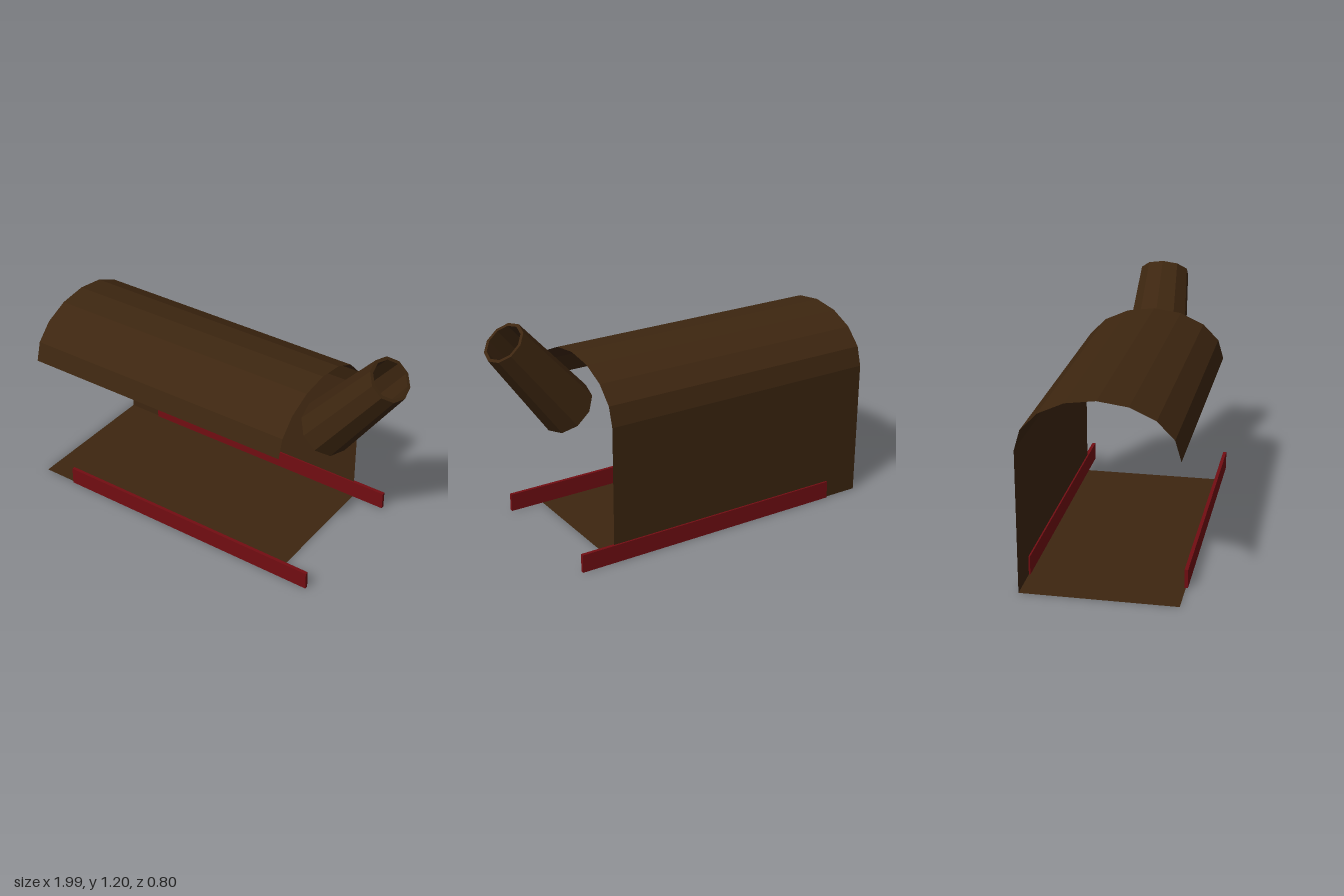
import * as THREE from 'three';

export function createModel() {
  const group = new THREE.Group();
  const brown = new THREE.MeshStandardMaterial({ color: 0x3d2610, flatShading: true, side: THREE.DoubleSide });
  brown.name = 'dark brown';
  const red = new THREE.MeshStandardMaterial({ color: 0x720d12, flatShading: true });
  red.name = 'dark red';

  const add = (name, geometry, material, x, y, z) => {
    const mesh = new THREE.Mesh(geometry, material);
    mesh.name = name;
    mesh.position.set(x, y, z);
    group.add(mesh);
    return mesh;
  };

  const length = 1.54, midX = -0.23, halfDepth = 0.39, wallTop = 0.733;

  // Thin floor and back wall; the front and both ends stay open
  add('floor', new THREE.PlaneGeometry(length, halfDepth * 2).rotateX(-Math.PI / 2), brown, midX, 0, 0);
  add('backWall', new THREE.PlaneGeometry(length, wallTop).rotateY(Math.PI), brown, midX, wallTop / 2, -halfDepth);

  // Arched roof: half of an open cylinder, flattened
  const roof = new THREE.CylinderGeometry(1, 1, length, 8, 1, true, 0, Math.PI);
  roof.rotateZ(Math.PI / 2).scale(1, 1 - wallTop, halfDepth);
  add('roof', roof, brown, midX, wallTop, 0);

  // Runners along the two long sides
  for (const side of [1, -1]) {
    add(side > 0 ? 'frontRunner' : 'backRunner', new THREE.BoxGeometry(1.53, 0.097, 0.018), red, -0.04, 0.0485, side * 0.391);
  }

  // Tapered hollow spout, leaning outwards and slightly sheared
  const profile = [[0.1755, 0], [0.137, 1], [0.117, 1], [0.155, 0], [0.1755, 0]].map(([r, y]) => new THREE.Vector2(r, y));
  const spout = new THREE.LatheGeometry(profile, 10, Math.PI / 2);
  spout.applyMatrix4(new THREE.Matrix4().makeBasis(
    new THREE.Vector3(0.734, -0.68, 0).multiplyScalar(0.84),
    new THREE.Vector3(0.333, 0.412, 0),
    new THREE.Vector3(0, 0, 1)
  ));
  spout.computeVertexNormals();
  add('spout', spout, brown, 0.574, 0.709, 0);

  return group;
}
